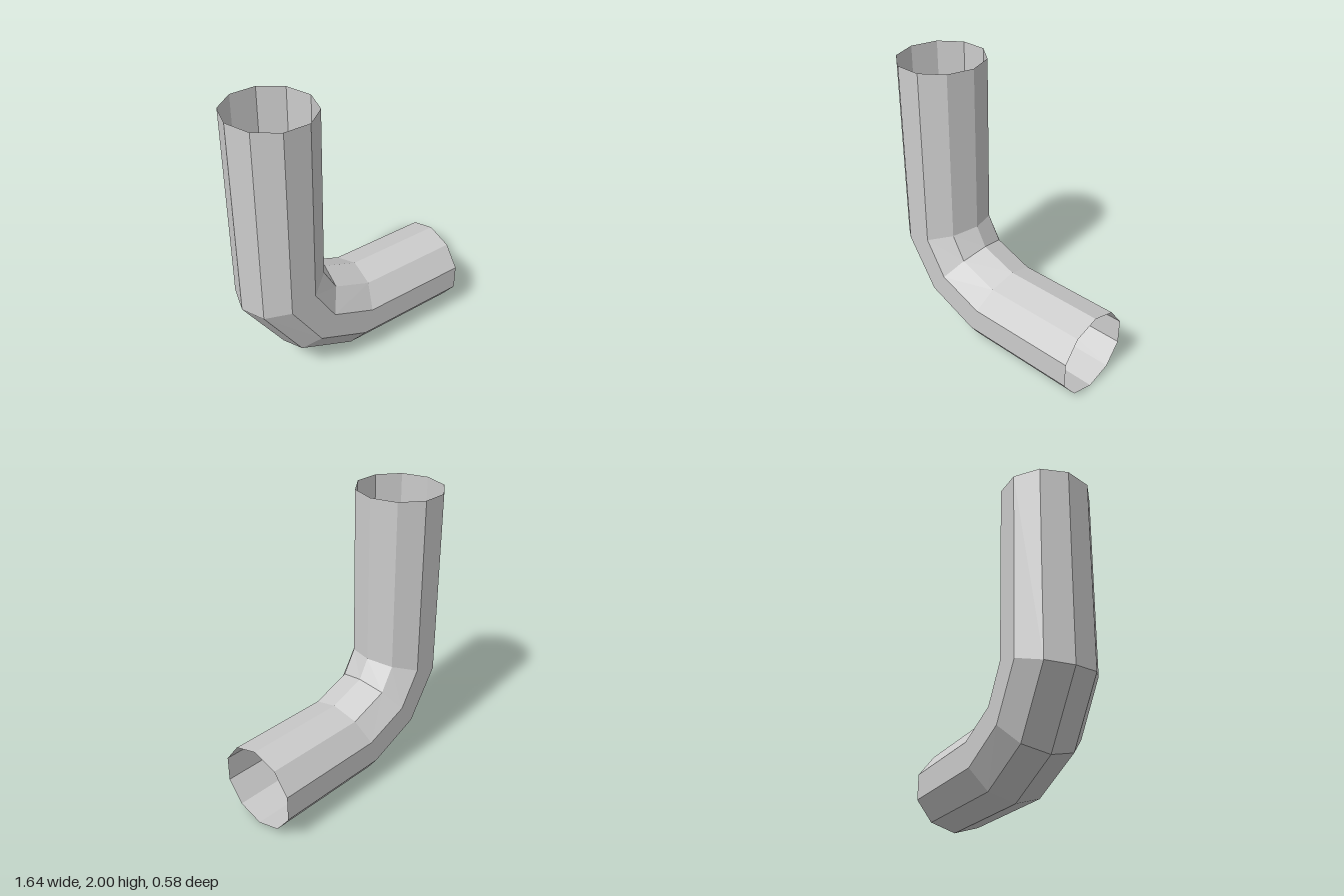
import * as THREE from 'three';

const SIDES = 10;
const DEPTH_RADIUS = 0.307;

// Cross-sections along the pipe: outer and inner edge of the bend in the x/y plane
const SECTIONS = [
  { outer: [-0.825, 2], inner: [-0.241, 2] },
  { outer: [-0.825, 0.635], inner: [-0.241, 0.822] },
  { outer: [-0.525, 0.188], inner: [-0.165, 0.685] },
  { outer: [-0.09, 0], inner: [0.095, 0.588] },
  { outer: [0.82, 0], inner: [0.82, 0.588] },
];

// Point on a section's ten-sided ring, starting at the inner edge
function ringPoint({ outer, inner }, j) {
  const a = (j / SIDES) * Math.PI * 2;
  const t = (1 + Math.cos(a)) / 2;
  return [
    THREE.MathUtils.lerp(outer[0], inner[0], t),
    THREE.MathUtils.lerp(outer[1], inner[1], t),
    DEPTH_RADIUS * Math.sin(a),
  ];
}

// Open-ended shell joining consecutive rings
function pipeGeometry() {
  const positions = [];
  for (let i = 0; i < SECTIONS.length - 1; i++) {
    for (let j = 0; j < SIDES; j++) {
      const a = ringPoint(SECTIONS[i], j);
      const b = ringPoint(SECTIONS[i], j + 1);
      const c = ringPoint(SECTIONS[i + 1], j);
      const d = ringPoint(SECTIONS[i + 1], j + 1);
      positions.push(...a, ...b, ...c, ...b, ...d, ...c);
    }
  }
  const geometry = new THREE.BufferGeometry();
  geometry.setAttribute('position', new THREE.Float32BufferAttribute(positions, 3));
  geometry.computeVertexNormals();
  return geometry;
}

export function createModel() {
  const group = new THREE.Group();
  group.name = 'pipeElbow';
  const material = new THREE.MeshStandardMaterial({
    color: 0xcccccc, flatShading: true, side: THREE.DoubleSide,
  });
  const pipe = new THREE.Mesh(pipeGeometry(), material);
  pipe.name = 'bentPipe';
  group.add(pipe);
  return group;
}
